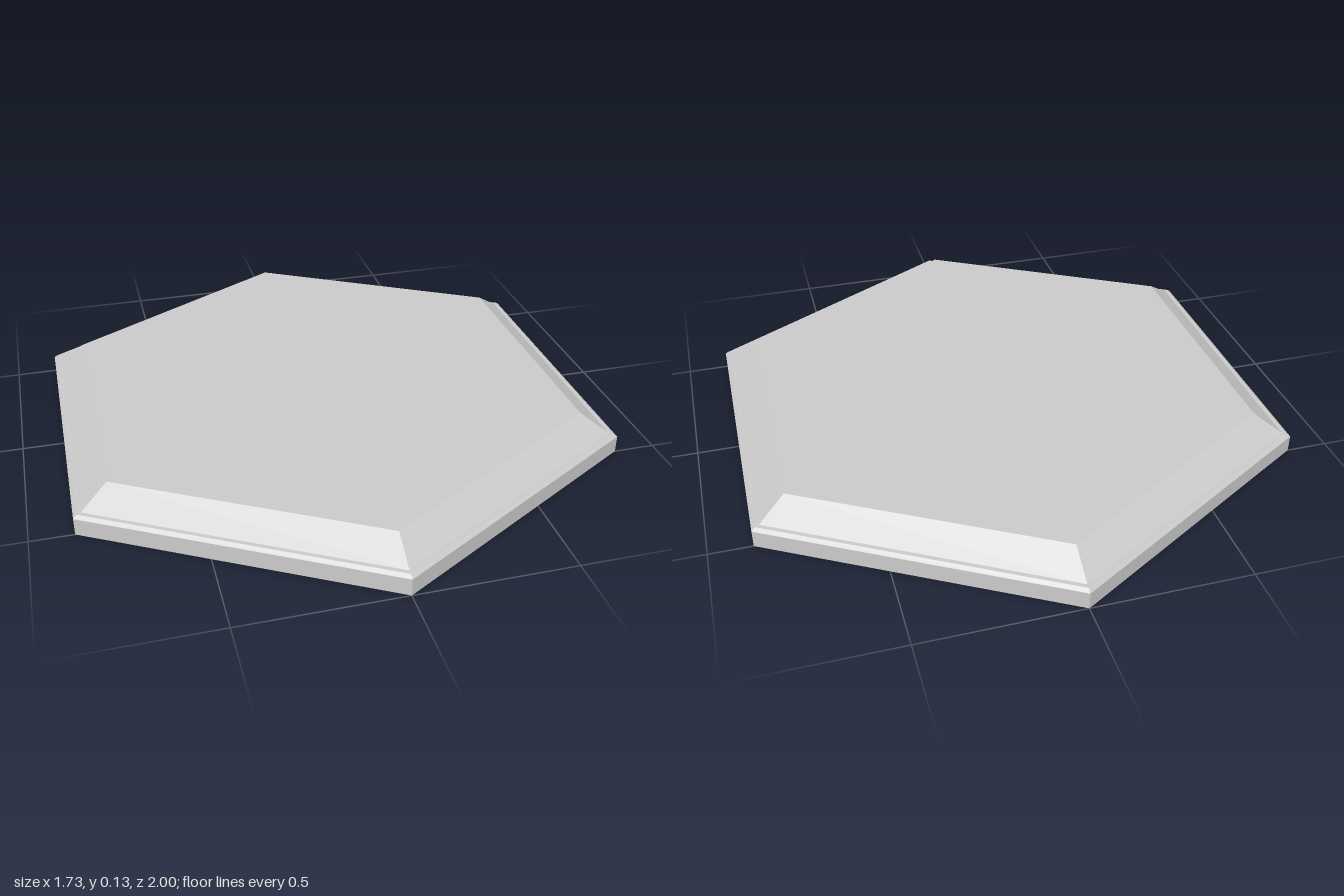
import * as THREE from 'three';

const material = new THREE.MeshStandardMaterial({ color: 0xcccccc, flatShading: true });

// Six-sided solid turned from a [radius, height] profile, corners on the z axis
function hexSolid(name, profile) {
  const points = profile.map(([r, y]) => new THREE.Vector2(r, y));
  const mesh = new THREE.Mesh(new THREE.LatheGeometry(points, 6), material);
  mesh.name = name;
  return mesh;
}

export function createModel() {
  const group = new THREE.Group();
  group.name = 'hexTile';

  // Base slab with a small chamfered rim and a narrow ledge
  group.add(hexSolid('base', [[0, 0], [1, 0], [1, 0.056], [0.987, 0.065], [0.972, 0.065]]));

  // Raised plateau with wide sloping sides
  group.add(hexSolid('plateau', [[0.972, 0.065], [0.875, 0.126], [0, 0.126]]));

  return group;
}
